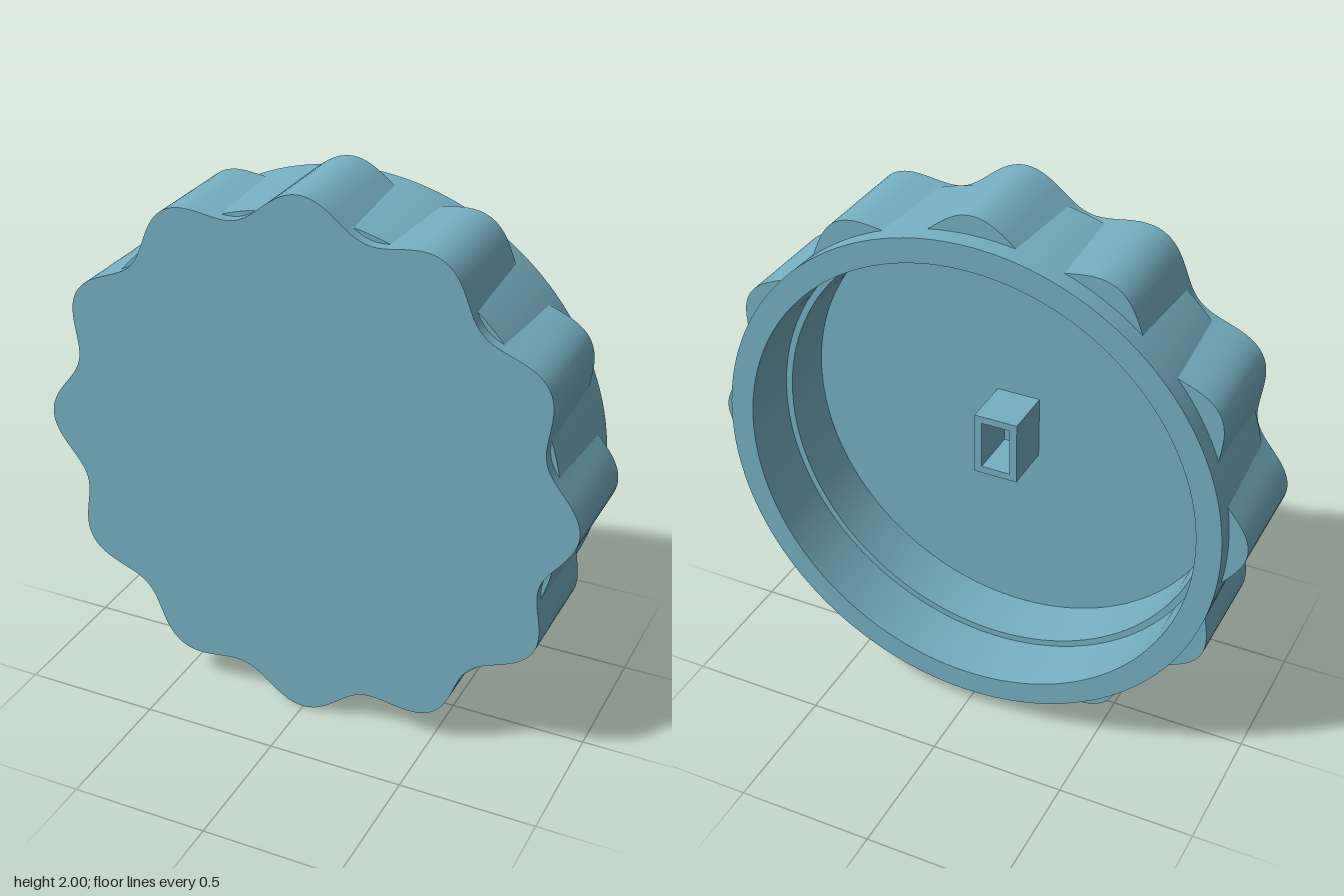
import * as THREE from 'three';
import { toCreasedNormals } from 'three/addons/utils/BufferGeometryUtils.js';

const LOBES = 12;

// Scalloped outline: a circle with a cosine wave around it
function scallop() {
  const pts = [];
  const n = LOBES * 24;
  for (let i = 0; i < n; i++) {
    const a = (i / n) * Math.PI * 2;
    const r = 0.9525 + 0.0475 * Math.cos(LOBES * a);
    pts.push(new THREE.Vector2(r * Math.cos(a), r * Math.sin(a)));
  }
  return new THREE.Shape(pts);
}

// Extrude a shape between two z positions, with soft curves and sharp rims
function extrude(shape, z0, z1) {
  const g = new THREE.ExtrudeGeometry(shape, { depth: z1 - z0, bevelEnabled: false, curveSegments: 64 });
  g.translate(0, 0, z0);
  return toCreasedNormals(g, 0.6);
}

function rectangle(Type, w, h) {
  const p = new Type();
  p.moveTo(-w / 2, -h / 2);
  p.lineTo(w / 2, -h / 2);
  p.lineTo(w / 2, h / 2);
  p.lineTo(-w / 2, h / 2);
  p.closePath();
  return p;
}

export function createModel() {
  const model = new THREE.Group();
  model.name = 'knob';
  const blue = new THREE.MeshStandardMaterial({ color: 0x76afc1 });
  blue.name = 'dusty blue';

  const add = (name, geometry) => {
    const mesh = new THREE.Mesh(geometry, blue);
    mesh.name = name;
    mesh.position.y = 1;
    model.add(mesh);
  };

  // Front plate, whose back is the floor of the cavity
  add('frontPlate', extrude(scallop(), 0.2, 0.24));

  // Scalloped grip around the skirt
  const grip = scallop();
  grip.holes.push(new THREE.Path().absarc(0, 0, 0.875, 0, Math.PI * 2, true));
  add('grip', extrude(grip, -0.165, 0.2));

  // Slightly tapered skirt with a stepped bore (radius, z)
  const profile = [
    [0.82, 0.2], [0.82, -0.01], [0.845, -0.01], [0.845, -0.24],
    [0.934, -0.24], [0.922, 0.2], [0.82, 0.2],
  ].map(([r, z]) => new THREE.Vector2(r, -z));
  // Lathe height runs along -z after turning, so the profile is walked in reverse
  const skirt = new THREE.LatheGeometry(profile.reverse(), 144);
  skirt.rotateX(-Math.PI / 2);
  // Make sure the faces look outward
  const flat = skirt.toNonIndexed();
  const p = flat.attributes.position;
  let volume = 0;
  const a = new THREE.Vector3(), b = new THREE.Vector3(), c = new THREE.Vector3();
  for (let i = 0; i < p.count; i += 3) {
    a.fromBufferAttribute(p, i);
    b.fromBufferAttribute(p, i + 1);
    c.fromBufferAttribute(p, i + 2);
    volume += a.dot(b.cross(c));
  }
  if (volume < 0) {
    for (let i = 0; i < p.count; i += 3) {
      b.fromBufferAttribute(p, i + 1);
      c.fromBufferAttribute(p, i + 2);
      p.setXYZ(i + 1, c.x, c.y, c.z);
      p.setXYZ(i + 2, b.x, b.y, b.z);
    }
  }
  add('skirt', toCreasedNormals(flat, 0.6));

  // Hollow rectangular shaft socket standing on the cavity floor
  const socket = rectangle(THREE.Shape, 0.165, 0.24);
  socket.holes.push(rectangle(THREE.Path, 0.11, 0.185));
  add('shaftSocket', extrude(socket, 0.01, 0.2));

  return model;
}
